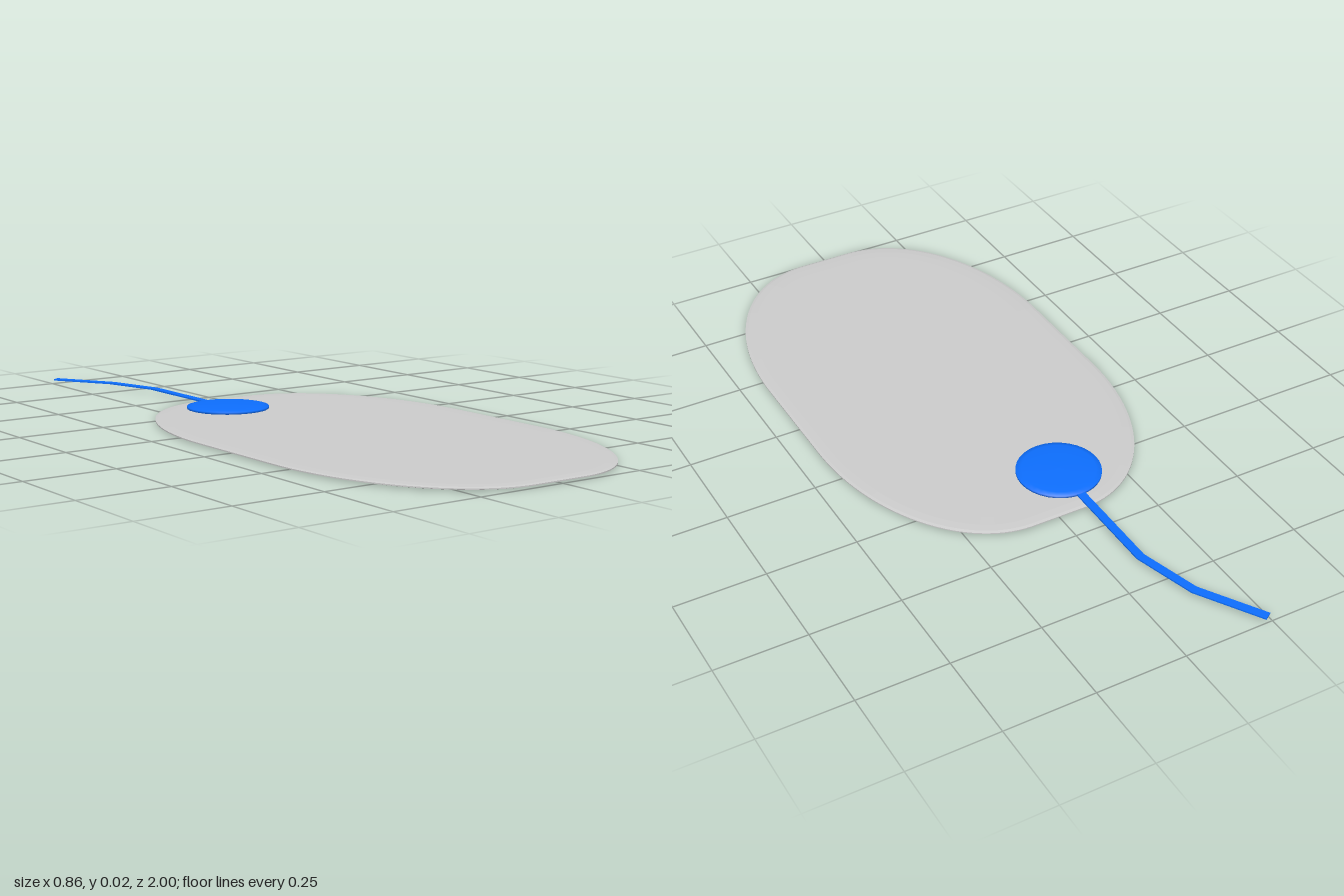
import * as THREE from 'three';

const grey = new THREE.MeshStandardMaterial({ color: 0xcccccc });
const blue = new THREE.MeshStandardMaterial({ color: 0x0d6efd });

// Extrudes a plan drawn in (x, -z) upward from height y
function slab(name, shape, y, options, material) {
  const geometry = new THREE.ExtrudeGeometry(shape, options);
  geometry.rotateX(-Math.PI / 2);
  geometry.translate(0, y, 0);
  const mesh = new THREE.Mesh(geometry, material);
  mesh.name = name;
  return mesh;
}

export function createModel() {
  const model = new THREE.Group();
  model.name = 'padWithCord';

  // Body: long rounded pad, thinning towards its rim
  const cornerX = 0.08, rx = 0.352, backZ = 0.12, frontZ = 0.45;
  const outline = new THREE.Shape();
  outline.absellipse(cornerX, -backZ, rx, 0.54, 0, Math.PI / 2);
  outline.absellipse(-cornerX, -backZ, rx, 0.54, Math.PI / 2, Math.PI);
  outline.absellipse(-cornerX, -frontZ, rx, 0.545, Math.PI, Math.PI * 1.5);
  outline.absellipse(cornerX, -frontZ, rx, 0.545, Math.PI * 1.5, Math.PI * 2);
  const bevel = 0.06, edge = 0.004;
  model.add(slab('body', outline, edge, {
    depth: 0.003, curveSegments: 14,
    bevelThickness: edge, bevelSize: bevel, bevelOffset: -bevel, bevelSegments: 3,
  }, grey));

  // Button: shallow domed disc near the back edge
  const profile = [[0, 0.01], [0.115, 0.01], [0.115, 0.017], [0.1, 0.02], [0.06, 0.0225], [0, 0.023]]
    .map(([r, y]) => new THREE.Vector2(r, y));
  const button = new THREE.Mesh(new THREE.LatheGeometry(profile, 32), blue);
  button.name = 'button';
  button.position.set(-0.09, 0, -0.262);
  model.add(button);

  // Cord: flat strip with mitred bends, leaving the button towards the back
  const path = [[-0.09, 0.3], [-0.09, 0.66], [-0.138, 0.828], [-0.241, 0.994]]
    .map(([x, y]) => new THREE.Vector2(x, y));
  const left = [], right = [];
  path.forEach((p, i) => {
    const before = p.clone().sub(path[Math.max(i - 1, 0)]).normalize();
    const after = path[Math.min(i + 1, path.length - 1)].clone().sub(p).normalize();
    const along = before.add(after).normalize();
    const side = new THREE.Vector2(-along.y, along.x).multiplyScalar(0.012);
    left.push(p.clone().add(side));
    right.unshift(p.clone().sub(side));
  });
  model.add(slab('cord', new THREE.Shape([...left, ...right]), 0.0115,
    { depth: 0.004, bevelEnabled: false }, blue));

  return model;
}
